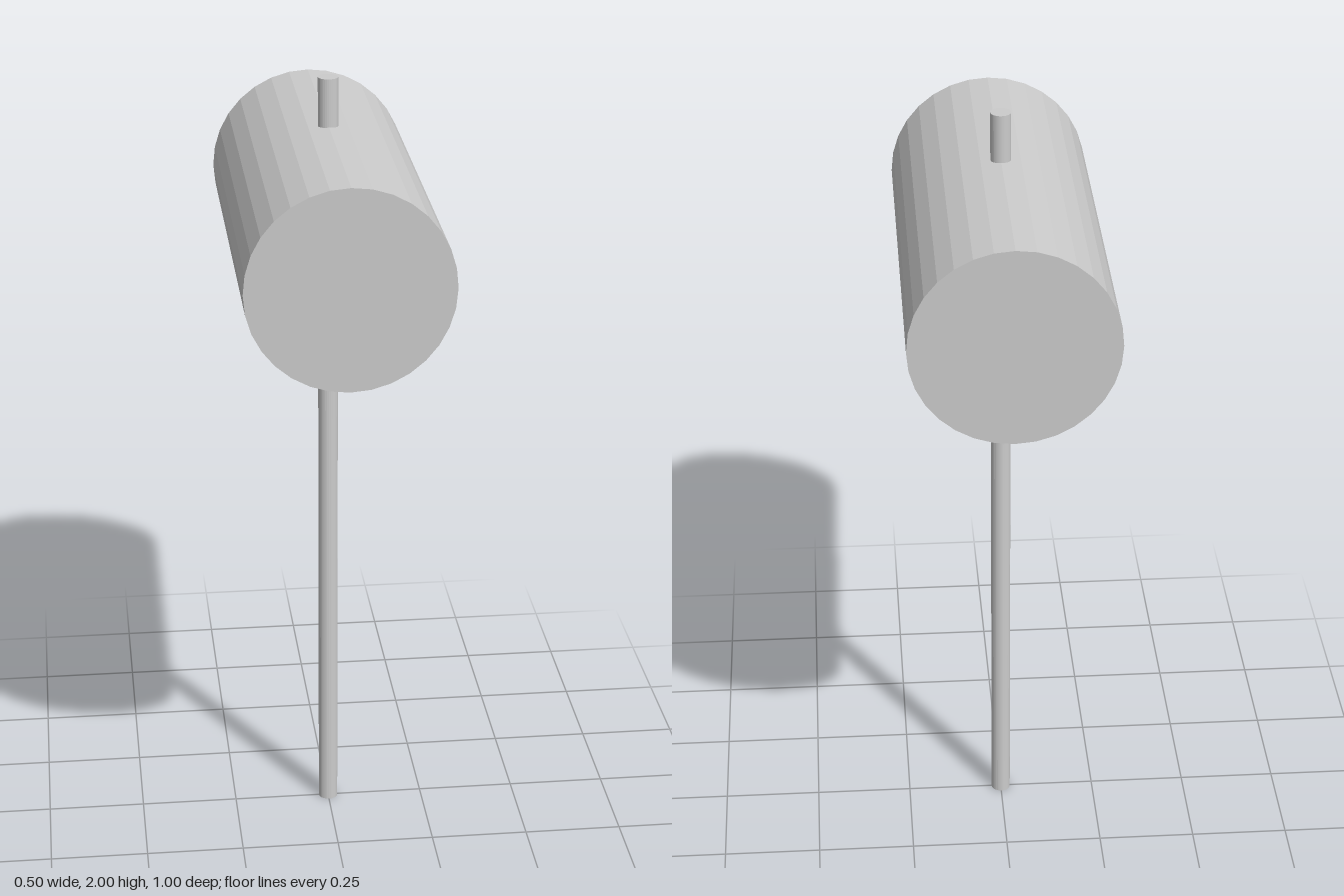
import * as THREE from 'three';

export function createModel() {
  const group = new THREE.Group();
  const material = new THREE.MeshStandardMaterial({ color: 0xcccccc, flatShading: true });

  const addCylinder = (name, radius, length, y) => {
    const mesh = new THREE.Mesh(new THREE.CylinderGeometry(radius, radius, length, 32), material);
    mesh.name = name;
    mesh.position.y = y;
    group.add(mesh);
    return mesh;
  };

  // Thin upright handle, passing through the head
  addCylinder('handle', 0.025, 2, 1);

  // Mallet head, lying front to back
  addCylinder('head', 0.25, 1, 1.63).rotation.x = Math.PI / 2;

  return group;
}
